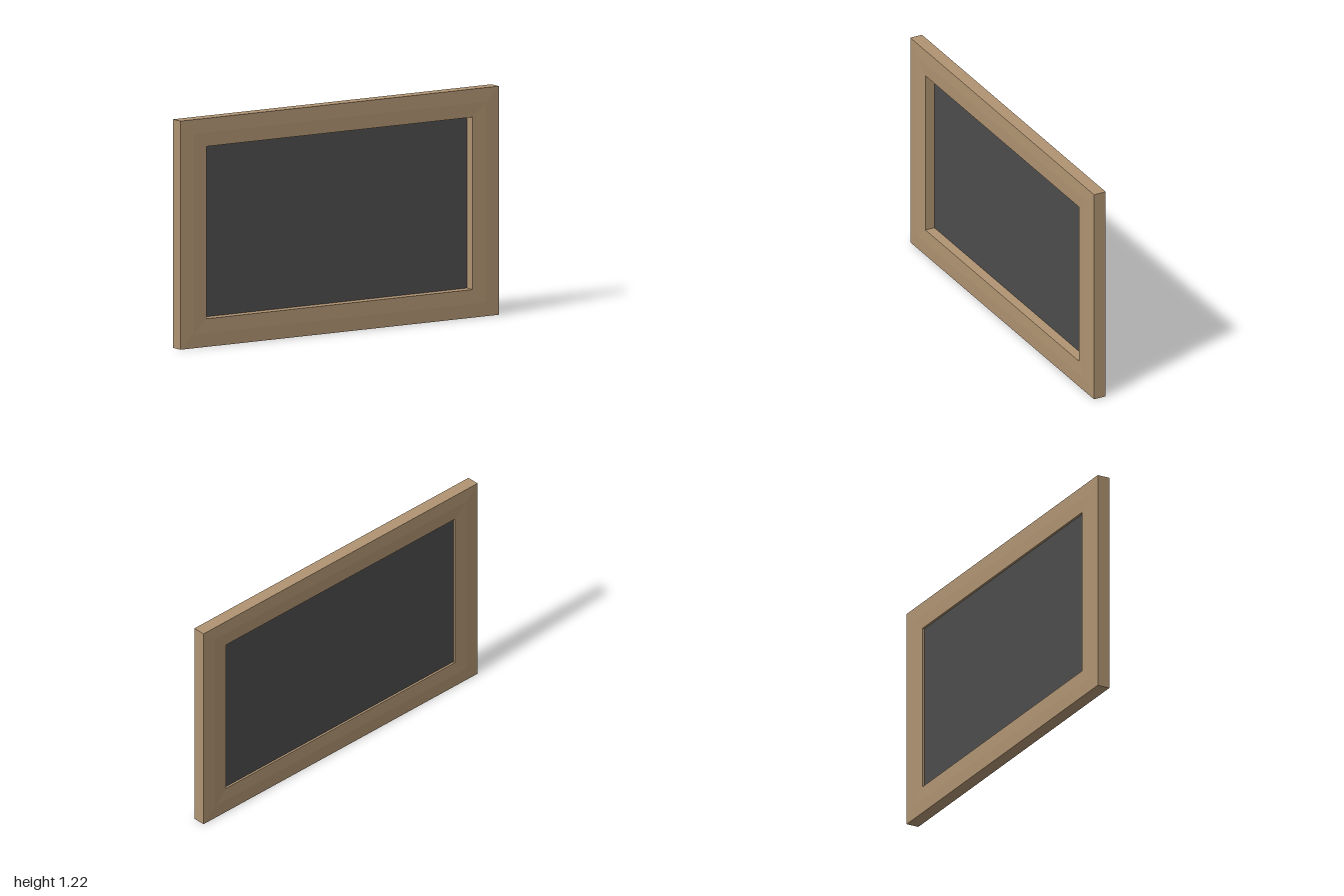
import * as THREE from 'three';

const CENTER_Y = 0.61;
const OUTER = [1, 0.61];      // half width, half height of the border
const OPENING = [0.835, 0.46]; // half width, half height of the opening
const DEPTH = 0.035;          // half depth at the border edges
const RIDGE = 0.002;          // slight crown along the middle of each rail

// Mitred border: one rail cross-section swept around four corners.
function frameGeometry() {
  // [position from outer edge (0) to opening (1), z]
  const section = [
    [0, -DEPTH], [0, DEPTH], [0.5, DEPTH + RIDGE],
    [1, DEPTH], [1, -DEPTH], [0.5, -DEPTH - RIDGE],
  ];
  const corners = [[-1, -1], [1, -1], [1, 1], [-1, 1]];
  const point = (c, s) => [
    c[0] * THREE.MathUtils.lerp(OUTER[0], OPENING[0], s[0]),
    c[1] * THREE.MathUtils.lerp(OUTER[1], OPENING[1], s[0]),
    s[1],
  ];
  const positions = [];
  corners.forEach((c0, i) => {
    const c1 = corners[(i + 1) % 4];
    section.forEach((s0, j) => {
      const s1 = section[(j + 1) % section.length];
      const a = point(c0, s0), b = point(c1, s0), c = point(c1, s1), d = point(c0, s1);
      positions.push(...a, ...b, ...c, ...a, ...c, ...d);
    });
  });
  const geometry = new THREE.BufferGeometry();
  geometry.setAttribute('position', new THREE.Float32BufferAttribute(positions, 3));
  geometry.computeVertexNormals();
  return geometry;
}

export function createModel() {
  const wood = new THREE.MeshStandardMaterial({ color: 0xb09472 });
  wood.name = 'wood';
  const slate = new THREE.MeshStandardMaterial({ color: 0x4d4d4d });
  slate.name = 'slate';

  const model = new THREE.Group();
  model.name = 'framedBoard';

  const frame = new THREE.Mesh(frameGeometry(), wood);
  frame.name = 'frame';
  frame.position.y = CENTER_Y;
  model.add(frame);

  // Board recessed deeply at the front and shallowly at the back
  const board = new THREE.Mesh(
    new THREE.BoxGeometry(OPENING[0] * 2, OPENING[1] * 2, 0.004), slate);
  board.name = 'board';
  board.position.set(0, CENTER_Y, -0.021);
  model.add(board);

  return model;
}
